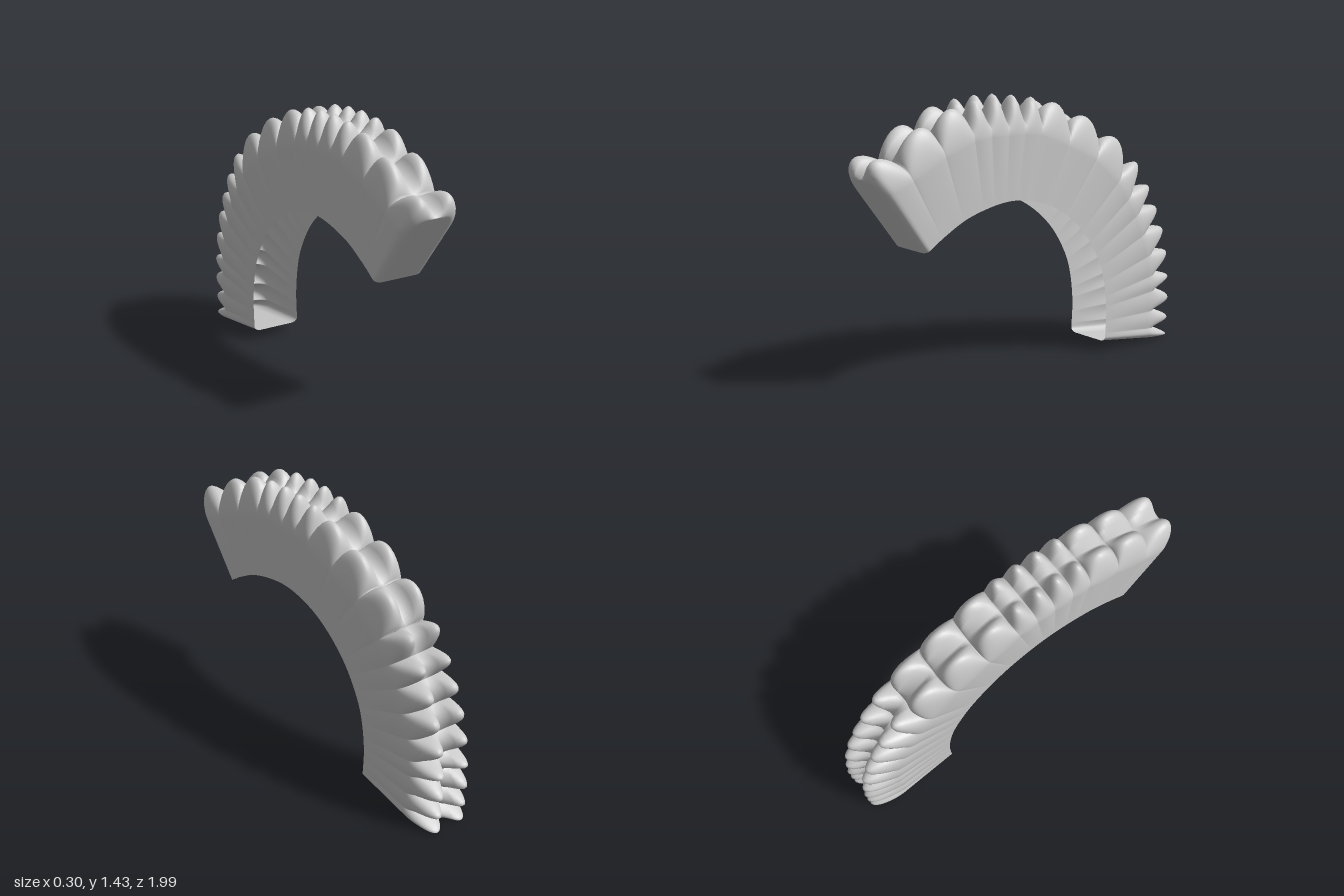
import * as THREE from 'three';

// Side profile points as [z, y], running from the front end over the top to the back foot
const INNER = [[.715, .71], [.6, .785], [.45, .86], [.2, .912], [0, .884], [-.15, .815], [-.3, .688],
  [-.4, .537], [-.44, .43], [-.465, .25], [-.457, .064]];
const VALLEYS = [[.99, 1.08], [.826, 1.144], [.623, 1.246], [.436, 1.315], [.323, 1.33], [.206, 1.33], [.094, 1.33],
  [-.024, 1.315], [-.217, 1.24], [-.425, 1.14], [-.60, .995], [-.68, .88], [-.75, .775], [-.80, .65],
  [-.85, .52], [-.87, .395], [-.875, .30], [-.863, .18], [-.863, .075], [-.9, .008]];
const PEAKS = [[.965, 1.18], [.735, 1.305], [.54, 1.39], [.385, 1.425], [.26, 1.437], [.145, 1.437], [.02, 1.425],
  [-.145, 1.385], [-.355, 1.30], [-.58, 1.165], [-.735, 1.02], [-.825, .885], [-.89, .755], [-.94, .63],
  [-.975, .49], [-.99, .35], [-.995, .225], [-.99, .11], [-.98, .012]];

const STEPS = 14;       // rows per ridge
const SIDE = 10;        // points up each side wall
const TOP = 24;         // points over half of the crown
const SHOULDER = 0.09;  // drop of the rounded shoulder
const CORNER = 0.04;    // rounding where the sides meet the end walls

const toVectors = (list) => list.map(([z, y]) => new THREE.Vector3(0, y, z));

function createShell() {
  const inner = new THREE.CatmullRomCurve3(toVectors(INNER));
  const valleys = toVectors(VALLEYS);
  const peaks = toVectors(PEAKS);
  const lengths = [0];
  for (let i = 1; i < valleys.length; i++) lengths.push(lengths[i - 1] + valleys[i].distanceTo(valleys[i - 1]));
  const total = lengths[lengths.length - 1];

  const positions = [];
  const columns = 2 * (SIDE + TOP) + 1;

  // One cross-section: up the left wall, over the twin lobes, down the right wall
  function addSection(lobe, t, flatten = 1) {
    const a = valleys[lobe], b = valleys[lobe + 1];
    const width = a.distanceTo(b);
    const base = a.clone().lerp(b, (t + 1) / 2);
    const along = lengths[lobe] + width * (t + 1) / 2;
    const foot = inner.getPointAt(Math.min(1, along / total));
    const push = peaks[lobe].clone().sub(a.clone().add(b).multiplyScalar(0.5));
    const power = THREE.MathUtils.clamp(0.14 / width, 0.6, 1.3);
    const ridge = Math.pow(Math.max(0, 1 - t * t), power);
    const radial = base.clone().sub(foot);
    const height = radial.length();
    radial.normalize();

    const fromEnd = Math.min(along, total - along);
    const k = 1 - Math.min(1, fromEnd / CORNER);
    const inset = CORNER * (1 - Math.sqrt(1 - k * k));

    for (let j = 0; j < columns; j++) {
      const right = j > (columns - 1) / 2;
      const n = right ? columns - 1 - j : j;
      let h, across = 1, bump = 0;
      if (n < SIDE) {
        h = (height - SHOULDER) * n / SIDE;
      } else {
        const angle = (n - SIDE) / TOP * Math.PI / 2;
        across = n === SIDE + TOP ? 0 : Math.sqrt(Math.cos(angle));
        h = height - SHOULDER * (1 - Math.sin(angle));
        bump = Math.pow(Math.max(0, Math.sin(Math.PI * Math.pow(across, 1.15))), 0.8);
      }
      const f = h / height;
      const halfWidth = 0.139 + 0.006 * f + 0.008 * ridge * f - inset;
      const p = foot.clone().addScaledVector(radial, h).addScaledVector(push, ridge * bump);
      positions.push((right ? -1 : 1) * across * halfWidth * flatten, p.y, p.z);
    }
  }

  // Sections ridge by ridge, with a collapsed section at each end to close the end wall
  const last = peaks.length - 1;
  addSection(0, -1, 0);
  for (let lobe = 0; lobe <= last; lobe++) {
    for (let i = 0; i < STEPS; i++) addSection(lobe, -Math.cos(Math.PI * i / STEPS));
  }
  addSection(last, 1);
  addSection(last, 1, 0);

  const rows = positions.length / 3 / columns;
  const index = [];
  for (let i = 0; i < rows - 1; i++) {
    for (let j = 0; j < columns - 1; j++) {
      const p = i * columns + j, q = p + columns;
      index.push(p, q, p + 1, q, q + 1, p + 1);
    }
  }
  const geometry = new THREE.BufferGeometry();
  geometry.setAttribute('position', new THREE.Float32BufferAttribute(positions, 3));
  geometry.setIndex(index);
  geometry.computeVertexNormals();
  return geometry;
}

export function createModel() {
  const group = new THREE.Group();
  group.name = 'ridgedArch';
  // Hollow shell, open along its inner curve
  const material = new THREE.MeshStandardMaterial({ color: 0xcccccc, side: THREE.DoubleSide });
  const shell = new THREE.Mesh(createShell(), material);
  shell.name = 'ridgedShell';
  group.add(shell);
  return group;
}
